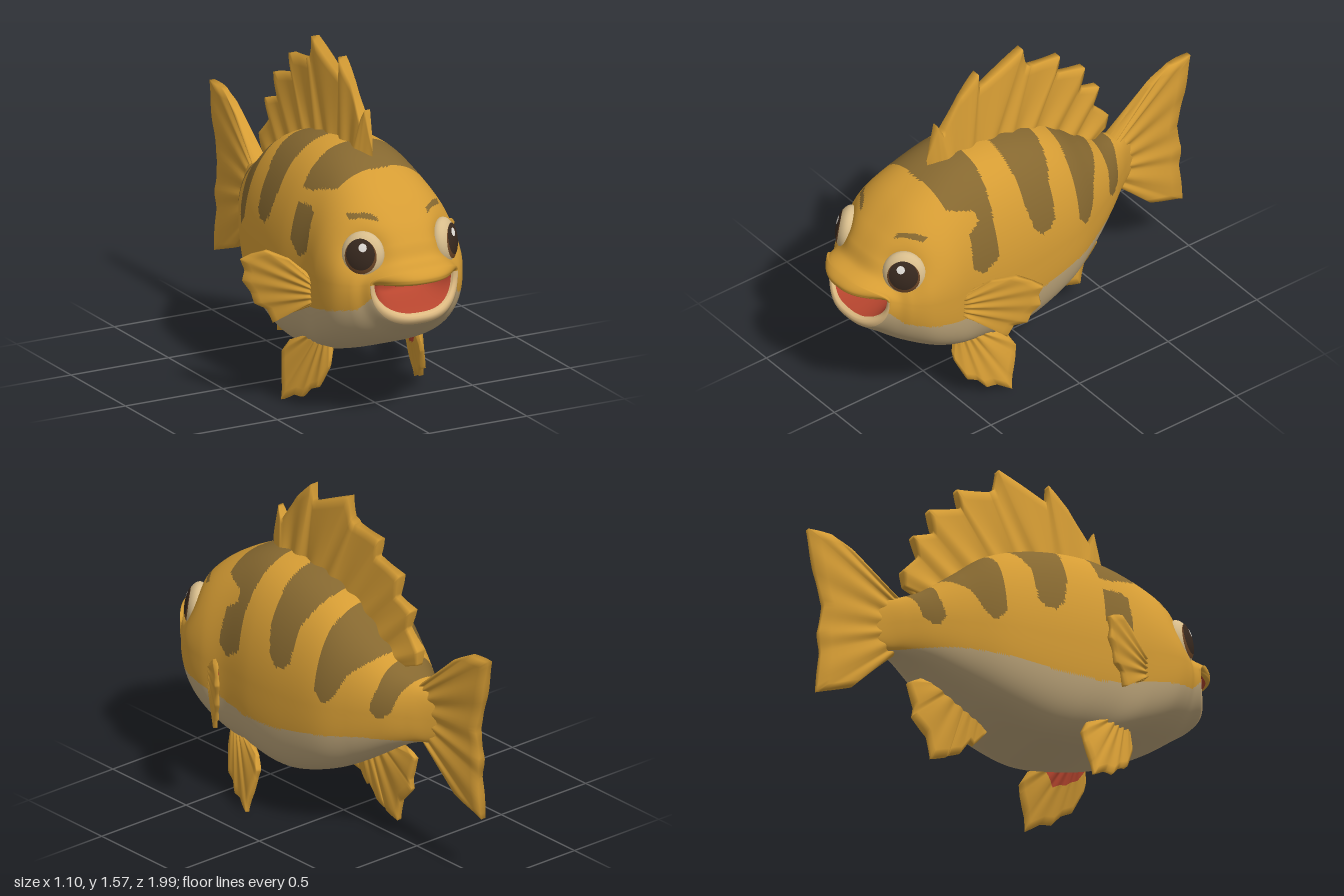
import * as THREE from 'three';

const mat = (name, color, side = THREE.FrontSide) => {
  const m = new THREE.MeshStandardMaterial({ color, side });
  m.name = name;
  return m;
};

// Linear lookup in a list of [x, y] points with ascending x
function lookup(pts, x) {
  for (let i = 1; i < pts.length; i++) {
    if (x <= pts[i][0]) {
      const [a, b] = [pts[i - 1], pts[i]];
      return a[1] + (b[1] - a[1]) * Math.max(0, (x - a[0]) / (b[0] - a[0]));
    }
  }
  return pts[pts.length - 1][1];
}

// Body rings from throat to tail: z top, z side, z bottom, y top, y side, y bottom, half width
const RINGS = [
  [0.72, 0.72, 0.72, 0.645, 0.64, 0.635, 0.005],
  [0.75, 0.75, 0.75, 0.68, 0.65, 0.60, 0.12],
  [0.95, 0.84, 0.90, 0.70, 0.69, 0.56, 0.19],
  [0.99, 0.86, 0.935, 0.73, 0.70, 0.54, 0.205],
  [0.96, 0.86, 0.92, 0.77, 0.70, 0.505, 0.225],
  [0.89, 0.82, 0.85, 0.80, 0.69, 0.455, 0.25],
  [0.85, 0.78, 0.75, 0.87, 0.685, 0.39, 0.29],
  [0.78, 0.70, 0.60, 0.96, 0.68, 0.32, 0.335],
  [0.65, 0.58, 0.45, 1.075, 0.67, 0.27, 0.35],
  [0.45, 0.44, 0.30, 1.17, 0.66, 0.235, 0.337],
  [0.27, 0.25, 0.15, 1.195, 0.66, 0.22, 0.35],
  [0.05, 0.05, 0.03, 1.175, 0.66, 0.24, 0.34],
  [-0.15, -0.15, -0.15, 1.11, 0.67, 0.31, 0.31],
  [-0.30, -0.30, -0.30, 1.00, 0.68, 0.40, 0.25],
  [-0.45, -0.45, -0.45, 0.89, 0.69, 0.50, 0.17],
  [-0.55, -0.55, -0.55, 0.845, 0.69, 0.55, 0.10],
  [-0.62, -0.62, -0.62, 0.82, 0.69, 0.57, 0.05],
  [-0.70, -0.70, -0.70, 0.76, 0.69, 0.62, 0.003],
];

// Smooth blend of neighbouring rings
function ringAt(u) {
  const last = RINGS.length - 1;
  const i = Math.min(Math.floor(u), last - 1), t = u - i;
  const [a, b, c, d] = [-1, 0, 1, 2].map(k => RINGS[Math.min(last, Math.max(0, i + k))]);
  return b.map((p, k) => p + 0.5 * t * (c[k] - a[k]
    + t * (2 * a[k] - 5 * p + 4 * c[k] - d[k] + t * (3 * (p - c[k]) + d[k] - a[k]))));
}

function bodyPoint(u, angle) {
  const [zT, zS, zB, yT, yS, yB, w] = ringAt(u);
  const c = Math.cos(angle), s = Math.sin(angle), up = s >= 0;
  // Rounder sections at the mouth, boxier along the belly
  const box = THREE.MathUtils.smoothstep(u, 4, 8);
  const x = Math.sign(c) * w * Math.abs(c) ** (up ? 0.8 : 0.78 - 0.25 * box);
  const y = up ? yS + (yT - yS) * s : yS + (yB - yS) * Math.abs(s) ** (0.88 - 0.17 * box);
  const z = zS + ((up ? zT : zB) - zS) * s * s;
  // Eye sockets
  const r2 = (Math.abs(x) - 0.225) ** 2 + (y - 0.825) ** 2 + (z - 0.8) ** 2;
  const dent = u > 4 ? 0.036 * Math.exp(-r2 / 0.011) : 0;
  return [x - Math.sign(x) * dent, y, z - dent];
}

const BELLY_LINE = [[-0.66, 0.57], [-0.35, 0.56], [-0.05, 0.51], [0.1, 0.485], [0.3, 0.48],
  [0.6, 0.53], [0.8, 0.575], [0.87, 0.65], [1, 0.72]];
// Stripe edges as [y, z] points: front edge, back edge; the first y is the lower end
const STRIPES = [
  { front: [[0.73, 0.42], [0.77, 0.47], [0.94, 0.46], [0.98, 0.40], [1.03, 0.41], [1.06, 0.53], [1.2, 0.56]],
    back: [[0.73, 0.40], [0.78, 0.33], [0.95, 0.33], [1.2, 0.31]] },
  { front: [[0.79, 0.08], [0.83, 0.12], [0.95, 0.15], [1.2, 0.17]],
    back: [[0.79, 0.04], [0.83, 0.0], [1.0, -0.01], [1.2, -0.09]] },
  { front: [[0.70, -0.19], [0.75, -0.15], [1.0, -0.15], [1.2, -0.17]],
    back: [[0.70, -0.21], [0.75, -0.25], [0.85, -0.29], [0.95, -0.39], [1.2, -0.39]] },
  { front: [[0.67, -0.43], [0.71, -0.40], [0.82, -0.42], [1.2, -0.42]],
    back: [[0.67, -0.45], [0.71, -0.49], [0.80, -0.51], [0.86, -0.54], [1.2, -0.54]] },
];

// Material slot: 0 skin, 1 stripe, 2 belly, 3 lip, 4 mouth
function bodySlot(x, y, z, u, lower) {
  if (u < 2.15) return 4;
  if (u < 4 && lower) return 3;
  if (y < lookup(BELLY_LINE, z) && lower) return 2;
  // Eyebrows
  const ax = Math.abs(x);
  const browY = 0.98 - 4 * (ax - 0.18) ** 2;
  if (z > 0.6 && ax > 0.125 && ax < 0.23 && Math.abs(y - browY) < 0.01) return 1;
  // The first stripe is broken on the right flank
  if (x < 0 && z > 0.25 && y > 0.96 && y < 1.02) return 0;
  for (const { front, back } of STRIPES) {
    if (y > front[0][0] && z < lookup(front, y) && z > lookup(back, y)) return 1;
  }
  return 0;
}

function makeBody(materials) {
  const nu = (RINGS.length - 1) * 18, nv = 190;
  const pos = [], slots = [[], [], [], [], []];
  const uAt = i => (i / nu) * (RINGS.length - 1);
  for (let i = 0; i <= nu; i++)
    for (let j = 0; j < nv; j++) pos.push(...bodyPoint(uAt(i), (j / nv) * Math.PI * 2));
  const mid = (tri, k) => (pos[tri[0] * 3 + k] + pos[tri[1] * 3 + k] + pos[tri[2] * 3 + k]) / 3;
  for (let i = 0; i < nu; i++) for (let j = 0; j < nv; j++) {
    const a = i * nv + j, b = a + nv, c = i * nv + (j + 1) % nv, d = c + nv;
    for (const tri of [[a, b, c], [b, d, c]])
      slots[bodySlot(mid(tri, 0), mid(tri, 1), mid(tri, 2), uAt(i + 0.5), j >= nv / 2)].push(...tri);
  }
  return slottedMesh('body', pos, slots, materials);
}

// Smooth mesh with one geometry group per material
function slottedMesh(name, pos, slots, materials) {
  const geo = new THREE.BufferGeometry();
  geo.setAttribute('position', new THREE.Float32BufferAttribute(pos, 3));
  geo.setIndex(slots.flat());
  let start = 0;
  slots.forEach((s, k) => { geo.addGroup(start, s.length, k); start += s.length; });
  geo.computeVertexNormals();
  const mesh = new THREE.Mesh(geo, materials);
  mesh.name = name;
  return mesh;
}

// Point on a polyline, equal share per segment
function along(pts, s) {
  const f = s * (pts.length - 1), i = Math.min(Math.floor(f), pts.length - 2), t = f - i;
  return [0, 1].map(k => pts[i][k] + (pts[i + 1][k] - pts[i][k]) * t);
}

// Ribbed fin between a base line and a jagged rim, thinning towards the rim.
// rootSide 1 or -1 colours the root of that face with the second material.
function makeFin(name, base, rim, thick, rays, materials, rootSide = 0) {
  const ns = (rim.length - 1) * 8, nt = 8, loop = 2 * (nt + 1), pos = [], slots = [[], []];
  for (let i = 0; i <= ns; i++) {
    const s = i / ns, p = along(base, s), q = along(rim, s);
    const edge = Math.min(1, Math.min(s, 1 - s) * 16);
    const rib = 0.84 + 0.16 * Math.cos(s * rays * Math.PI * 2);
    for (let k = 0; k < loop; k++) {
      const t = (k <= nt ? k : loop - 1 - k) / nt;
      const h = thick * edge * (1 - 0.6 * t) * rib * (k <= nt ? 1 : -1);
      pos.push(p[0] + (q[0] - p[0]) * t, p[1] + (q[1] - p[1]) * t, h);
    }
  }
  for (let i = 0; i < ns; i++) for (let k = 0; k < loop; k++) {
    const a = i * loop + k, b = a + loop, c = i * loop + (k + 1) % loop, d = c + loop;
    const root = (rootSide > 0 && k < 3) || (rootSide < 0 && k > loop - 5);
    slots[root ? 1 : 0].push(a, b, c, b, d, c);
  }
  return slottedMesh(name, pos, slots, materials);
}

export function createModel() {
  const skin = mat('golden skin', 0xd59c34, THREE.DoubleSide);
  const stripe = mat('brown stripe', 0x866830), belly = mat('cream belly', 0xbda57a);
  const lip = mat('pale lip', 0xdcb981), mouth = mat('red mouth', 0xb8462f, THREE.DoubleSide);
  const eyeWhite = mat('eye cream', 0xd8bd8c), iris = mat('iris brown', 0x6b4526);
  const pupil = mat('pupil dark', 0x38291f), glint = mat('eye glint', 0xe6e2dc);
  const finMaterials = [skin, mouth];

  const model = new THREE.Group();
  model.name = 'fish';
  model.add(makeBody([skin, stripe, belly, lip, mouth]));

  // Fins on the centre line, drawn in (z, y)
  const centreFins = [
    makeFin('dorsalFin',
      [[-0.45, 0.84], [-0.3, 0.95], [-0.1, 1.08], [0.1, 1.13], [0.3, 1.14], [0.47, 1.12]],
      [[-0.44, 0.905], [-0.52, 0.91], [-0.53, 0.985], [-0.45, 1.07], [-0.48, 1.165], [-0.375, 1.2],
        [-0.4, 1.31], [-0.24, 1.35], [-0.26, 1.44], [-0.1, 1.46], [-0.07, 1.48], [-0.05, 1.58],
        [0.19, 1.47], [0.2, 1.555], [0.3, 1.46], [0.4, 1.31], [0.43, 1.37], [0.48, 1.19]], 0.055, 9, finMaterials),
    makeFin('tailFin', [[-0.5, 0.62], [-0.5, 0.8]],
      [[-0.66, 0.48], [-0.77, 0.37], [-0.955, 0.305], [-0.935, 0.5], [-0.945, 0.6], [-0.92, 0.735],
        [-0.965, 0.9], [-1, 1.095], [-0.88, 1.09], [-0.77, 1.03], [-0.65, 0.92]], 0.045, 8, finMaterials),
    makeFin('analFin', [[-0.12, 0.36], [-0.34, 0.47]],
      [[-0.1, 0.28], [-0.17, 0.2], [-0.19, 0.215], [-0.235, 0.15], [-0.29, 0.13], [-0.3, 0.12],
        [-0.38, 0.095], [-0.4, 0.2], [-0.475, 0.28], [-0.465, 0.33], [-0.5, 0.44], [-0.43, 0.48]], 0.035, 6, finMaterials),
  ];
  for (const fin of centreFins) {
    fin.rotation.y = -Math.PI / 2;
    model.add(fin);
  }

  for (const side of [1, -1]) {
    const label = side > 0 ? 'left' : 'right';
    const pair = new THREE.Group();
    pair.name = label + 'Fins';
    pair.scale.x = side;

    // Pectoral fin sweeping out and back
    const pectoral = makeFin(label + 'PectoralFin', [[-0.03, 0.05], [-0.03, -0.07]],
      [[0.03, 0.08], [0.1, 0.13], [0.21, 0.155], [0.28, 0.13], [0.33, 0.1], [0.31, 0.05], [0.32, 0],
        [0.28, -0.05], [0.26, -0.1], [0.2, -0.12], [0.17, -0.18], [0.1, -0.13], [0.03, -0.1]], 0.026, 6, finMaterials, -1);
    pectoral.position.set(0.34, 0.6, 0.5);
    pectoral.rotation.y = 0.915;

    // Pelvic fin leaning outwards, its rear edge turned out
    const pelvicFin = makeFin(label + 'PelvicFin', [[0.5, 0.03], [0.36, 0.03]],
      [[0.51, -0.05], [0.5, -0.1], [0.45, -0.2], [0.4, -0.22], [0.36, -0.265], [0.31, -0.265], [0.24, -0.305],
        [0.235, -0.24], [0.21, -0.14], [0.205, -0.09], [0.24, -0.03], [0.32, -0.01]], 0.03, 6, finMaterials, 1);
    pelvicFin.rotation.y = -Math.PI / 2;
    pelvicFin.position.z = -0.5;
    const pelvic = new THREE.Group();
    pelvic.name = label + 'PelvicFinMount';
    pelvic.position.set(0.22, 0.31, 0.5);
    pelvic.rotation.set(0, -0.26, 0.19);
    pelvic.add(pelvicFin);
    pair.add(pectoral, pelvic);
    model.add(pair);

    // Eye: flattened ball with thin caps for iris, pupil and glint
    const eye = new THREE.Group();
    eye.name = label + 'Eye';
    eye.position.set(side * 0.207, 0.816, 0.762);
    eye.lookAt(side * 0.907, 0.946, 1.462);
    const cap = (name, material, angle, grow, tiltX = 0, tiltY = 0) => {
      const geo = new THREE.SphereGeometry(grow, 32, 16, 0, Math.PI * 2, 0, angle);
      geo.rotateX(Math.PI / 2).rotateX(tiltX).rotateY(tiltY).scale(0.1, 0.108, 0.055);
      const m = new THREE.Mesh(geo, material);
      m.name = name;
      eye.add(m);
    };
    cap('eyeball', eyeWhite, Math.PI, 1);
    cap('iris', iris, 0.82, 1.02, 0.02);
    cap('pupil', pupil, 0.7, 1.04, -0.1);
    cap('glint', glint, 0.18, 1.06, -0.38, -side * 0.12);
    model.add(eye);
  }
  return model;
}
